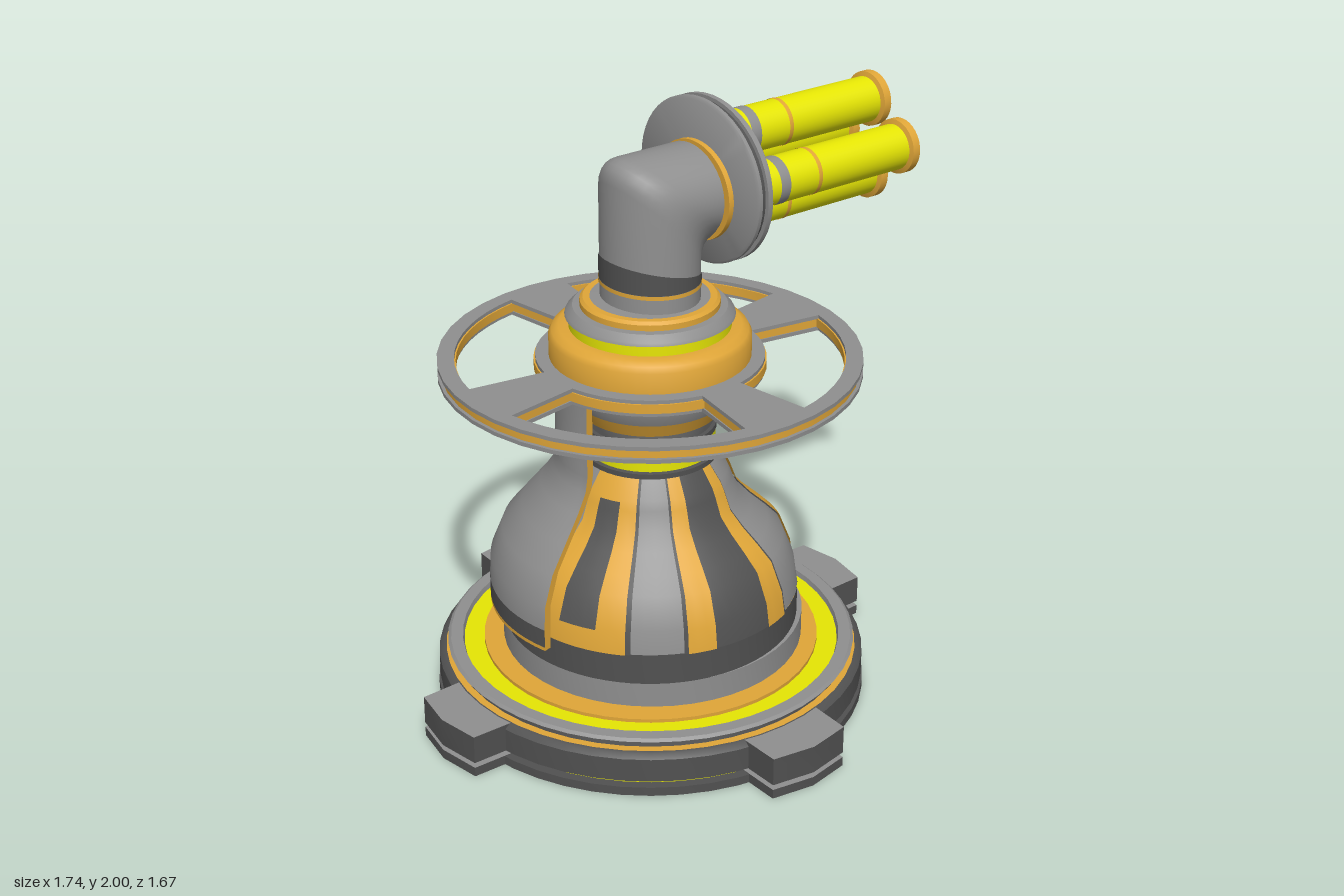
import * as THREE from 'three';
import { toCreasedNormals } from 'three/addons/utils/BufferGeometryUtils.js';

const mat = (name, color, extra = {}) => {
  const m = new THREE.MeshStandardMaterial({ color, ...extra });
  m.name = name;
  return m;
};
const grey = mat('grey metal', 0x8f8f8f);
const dark = mat('dark metal', 0x515151);
const gold = mat('gold trim', 0xe0a638, { side: THREE.DoubleSide });
const yellow = mat('yellow paint', 0xe6e604);

const rad = THREE.MathUtils.degToRad;
const vecs = pts => pts.map(p => new THREE.Vector2(p[0], p[1]));

function add(parent, name, geo, material) {
  const m = new THREE.Mesh(geo, material);
  m.name = name;
  parent.add(m);
  return m;
}

// Turned part from [radius, height] points; angles in degrees, 0 = front, 90 = left
function turned(parent, name, pts, material, from = 0, sweep = 360, segs = 48) {
  const g = new THREE.LatheGeometry(vecs(pts), Math.max(2, Math.ceil(segs * sweep / 360)), rad(from), rad(sweep));
  return add(parent, name, toCreasedNormals(g, 0.6), material);
}

function extruded(pts, depth, holes = []) {
  const s = new THREE.Shape(vecs(pts));
  holes.forEach(h => s.holes.push(new THREE.Path(vecs(h))));
  const g = new THREE.ExtrudeGeometry(s, { depth, bevelEnabled: false });
  return toCreasedNormals(g.rotateX(-Math.PI / 2), 0.5);
}

const BODY = [[0.487, 0.37], [0.475, 0.45], [0.435, 0.55], [0.385, 0.6], [0.33, 0.65],
  [0.285, 0.7], [0.263, 0.76], [0.25, 0.79], [0.2, 0.86]];
const SHELL = [[0.5, 0.345], [0.5, 0.357], [0.5, 0.42], [0.495, 0.5], [0.455, 0.6], [0.39, 0.68],
  [0.325, 0.76], [0.285, 0.82], [0.275, 0.87], [0.275, 1.13]];
const lift = (pts, d) => pts.map(([r, y]) => [r + d, y]);

function addBase(root) {
  const base = new THREE.Group();
  base.name = 'base';
  root.add(base);
  turned(base, 'underside', [[0, 0], [0.715, 0]], grey);
  turned(base, 'footPlate', [[0.715, 0], [0.715, 0.03], [0.67, 0.03]], dark);
  turned(base, 'footGlowRing', [[0.685, 0.03], [0.685, 0.052]], yellow);
  turned(base, 'baseDrum', [[0.67, 0.05], [0.71, 0.05], [0.71, 0.13], [0.695, 0.145], [0.685, 0.147]], dark);
  turned(base, 'goldGroove', [[0.686, 0.147], [0.655, 0.147]], gold);
  turned(base, 'baseRim', [[0.66, 0.145], [0.68, 0.175], [0.67, 0.183], [0.63, 0.183], [0.625, 0.165]], grey);
  turned(base, 'yellowFloorRing', [[0.628, 0.166], [0.558, 0.166]], yellow);
  turned(base, 'goldFloorRing', [[0.558, 0.16], [0.558, 0.178], [0.48, 0.178]], gold);
  const ring = turned(base, 'pedestalRing', [[0.5, 0.17], [0.5, 0.266], [0.48, 0.27]], grey);
  ring.position.set(0.014, 0, -0.008);
  turned(base, 'pedestalBand', [[0.488, 0.265], [0.488, 0.371]], dark, 0, 360, 72);

  // Four feet around the rim
  const foot = (w, r) => [[w, 0.6], [w - 0.005, r - 0.025], [0, r], [0.005 - w, r - 0.025], [-w, 0.6]];
  for (let i = 0; i < 4; i++) {
    const f = new THREE.Group();
    f.name = 'foot';
    f.rotation.y = i * Math.PI / 2;
    base.add(f);
    add(f, 'footSole', extruded(foot(0.15, 0.835), 0.032), [grey, dark]);
    add(f, 'footStripe', extruded(foot(0.12, 0.8), 0.024), yellow).position.y = 0.03;
    add(f, 'footBlock', extruded(foot(0.15, 0.835), 0.096), [grey, dark]).position.y = 0.05;
  }
}

function addBody(root) {
  const body = new THREE.Group();
  body.name = 'body';
  root.add(body);
  turned(body, 'bell', BODY, grey, 0, 360, 72);

  // Striped panels
  for (const a of [0, 90, 180]) {
    turned(body, 'darkPanel', lift(BODY, 0.004), dark, a - 25, 50, 72);
    for (const s of [-1, 1]) turned(body, 'goldStripe', lift(BODY, 0.008), gold, a + s * 18 - 5.5, 11, 72);
  }
  turned(body, 'sideDarkPanel', lift(BODY, 0.004), dark, 300, 15, 72);
  turned(body, 'sideGoldPanel', lift(BODY, 0.008), gold, 275, 38, 72);
  turned(body, 'sidePlate', lift(BODY.slice(1, 8), 0.022), dark, 287, 15, 72);

  // Neck
  turned(body, 'lowerCollar', [[0.19, 0.85], [0.222, 0.853], [0.222, 0.87], [0.2, 0.875]], dark);
  turned(body, 'yellowNeckBand', [[0.21, 0.87], [0.21, 0.945]], yellow);
  turned(body, 'upperCollar', [[0.2, 0.94], [0.214, 0.943], [0.214, 0.962], [0.2, 0.965]], dark);
  turned(body, 'neckFlare', [[0.2, 0.96], [0.225, 1.005]], grey);
  turned(body, 'neckGoldBand', [[0.225, 1.005], [0.248, 1.052]], gold);
  turned(body, 'neckTop', [[0.248, 1.052], [0.27, 1.1], [0.275, 1.15]], grey);

  // Curved rear guard with a thin gold outline
  const guard = new THREE.Group();
  guard.name = 'rearGuard';
  guard.position.x = -0.038;
  body.add(guard);
  const from = 172, sweep = 113, inner = lift(SHELL, -0.028).reverse();
  turned(guard, 'guardLip', SHELL.slice(0, 2), gold, from, sweep, 72);
  turned(guard, 'guardBand', SHELL.slice(1, 3), dark, from, sweep, 72);
  turned(guard, 'guardSkin', SHELL.slice(2), grey, from, sweep, 72);
  turned(guard, 'guardLining', [SHELL.at(-1), ...inner, SHELL[0]], gold, from, sweep, 72);
  for (const a of [from, from + sweep]) {
    const end = add(guard, 'guardEdge', new THREE.ShapeGeometry(new THREE.Shape(vecs([...SHELL, ...inner]))), gold);
    end.rotation.y = rad(a - 90);
  }
  turned(guard, 'guardTrim', lift(SHELL, 0.002), gold, from, 1.2);
}

function addWheel(root) {
  const wheel = new THREE.Group();
  wheel.name = 'ringPlatform';
  root.add(wheel);
  const arc = (r, a0, a1, n) => Array.from({ length: n + 1 }, (_, i) => {
    const a = a0 + (a1 - a0) * i / n;
    return [r * Math.cos(a), r * Math.sin(a)];
  });
  const plate = (R, ri, ro, gap, depth) => {
    const holes = [0, 1, 2, 3].map(i => {
      const q = i * Math.PI / 2, o = Math.asin((0.115 + gap) / ro), n = Math.asin((0.075 + gap) / ri);
      return [...arc(ro, q + o, q + Math.PI / 2 - o, 12), ...arc(ri, q + Math.PI / 2 - n, q + n, 8)];
    });
    return extruded(arc(R, 0, Math.PI * 2, 40).slice(0, -1), depth, holes);
  };
  add(wheel, 'goldCore', plate(0.664, 0.37, 0.615, -0.004, 0.03), gold).position.y = 1.155;
  for (const y of [1.143, 1.184]) add(wheel, 'greyPlate', plate(0.675, 0.365, 0.62, 0, 0.013), grey).position.y = y;

  // Stepped turret collar
  turned(wheel, 'goldCollar', [[0.322, 1.19], [0.322, 1.265], [0.312, 1.283], [0.29, 1.295], [0.25, 1.295]], gold);
  turned(wheel, 'yellowCollar', [[0.258, 1.29], [0.258, 1.335]], yellow);
  turned(wheel, 'greyCollar', [[0.25, 1.328], [0.27, 1.332], [0.266, 1.342], [0.245, 1.362], [0.21, 1.364]], grey);
  turned(wheel, 'upperGoldCollar', [[0.222, 1.36], [0.222, 1.382], [0.212, 1.391], [0.188, 1.391]], gold);
  turned(wheel, 'collarTop', [[0.19, 1.391], [0.14, 1.393]], grey);
}

// Bent oval pipe built from rings that follow a tight corner
function elbowGeometry() {
  const N = 36, f = 0.07, pos = [], idx = [];
  const rows = [-1, 0, 0.2, 0.4, 0.6, 0.8, 1, 2];
  rows.forEach(t => {
    for (let j = 0; j < N; j++) {
      const a = j / N * Math.PI * 2, o = 0.152 * Math.cos(a), z = 0.17 * Math.sin(a);
      let x = -o + f * t * t, y = 1.705 + o - f * (1 - t) * (1 - t);
      if (t < 0) { x = -o; y = 1.38; }
      if (t > 1) { x = 0.17; y = 1.705 + o; }
      pos.push(x, y, z);
    }
  });
  for (let i = 0; i < rows.length - 1; i++) for (let j = 0; j < N; j++) {
    const k = (j + 1) % N, a = i * N + j, b = i * N + k, c = a + N, d = b + N;
    idx.push(a, b, d, a, d, c);
  }
  const g = new THREE.BufferGeometry();
  g.setAttribute('position', new THREE.Float32BufferAttribute(pos, 3));
  g.setIndex(idx);
  return toCreasedNormals(g, 0.7);
}

function addTurret(root) {
  const turret = new THREE.Group();
  turret.name = 'turret';
  root.add(turret);
  add(turret, 'elbow', elbowGeometry(), grey);
  turned(turret, 'neckGoldLine', [[0.156, 1.44], [0.156, 1.453]], gold).scale.z = 1.11;
  // Band with a slanted upper edge
  const band = new THREE.CylinderGeometry(0.155, 0.155, 0.05, 36, 1, true);
  const p = band.attributes.position;
  for (let i = 0; i < p.count; i++) if (p.getY(i) > 0) p.setY(i, 0.025 - p.getX(i) * 0.22);
  const slant = add(turret, 'slantedBand', band, dark);
  slant.position.y = 1.478;
  slant.scale.z = 1.11;

  // Weapon head, turned about an axis that points left
  const head = new THREE.Group();
  head.name = 'weaponHead';
  head.position.set(0.035, 1.735, 0.015);
  head.rotation.z = -Math.PI / 2;
  root.add(head);
  const disc = new THREE.Group();
  disc.name = 'ovalDisc';
  disc.scale.x = 0.9;
  head.add(disc);
  turned(disc, 'goldMount', [[0, 0.122], [0.178, 0.122], [0.178, 0.142]], gold).position.x = 0.03;
  turned(disc, 'discBack', [[0, 0.14], [0.285, 0.14], [0.294, 0.146], [0.294, 0.158], [0.27, 0.158]], grey);
  turned(disc, 'discGroove', [[0.28, 0.155], [0.28, 0.19]], dark);
  turned(disc, 'discFront', [[0.27, 0.18], [0.294, 0.18], [0.294, 0.198], [0.285, 0.205], [0.2, 0.205]], grey);
  turned(disc, 'discCentre', [[0.222, 0.203], [0.222, 0.208], [0, 0.208]], dark);

  for (let i = 0; i < 4; i++) {
    const b = new THREE.Group();
    b.name = 'barrel';
    b.position.set(0.124 * Math.cos(i * Math.PI / 2), 0, 0.143 * Math.sin(i * Math.PI / 2));
    head.add(b);
    turned(b, 'barrelSeat', [[0.085, 0.205], [0.085, 0.214], [0.078, 0.218], [0.078, 0.232], [0.085, 0.235], [0.085, 0.245], [0.07, 0.245]], dark, 0, 360, 32);
    turned(b, 'barrelTube', [[0.075, 0.24], [0.075, 0.84]], yellow, 0, 360, 32);
    turned(b, 'greyBand', [[0.0765, 0.297], [0.0765, 0.335]], grey, 0, 360, 32);
    turned(b, 'goldBand', [[0.0765, 0.45], [0.0765, 0.465]], gold, 0, 360, 32);
    turned(b, 'muzzleRing', [[0.075, 0.835], [0.09, 0.84], [0.09, 0.868], [0.073, 0.868], [0.07, 0.8]], gold, 0, 360, 32);
    turned(b, 'bore', [[0.071, 0.8], [0, 0.8]], dark, 0, 360, 32);
  }
}

export function createModel() {
  const model = new THREE.Group();
  model.name = 'turretTower';
  const column = new THREE.Group();
  column.name = 'column';
  column.position.x = -0.036;
  model.add(column);
  addBase(column);
  addBody(column);
  addWheel(column);
  addTurret(column);
  return model;
}
